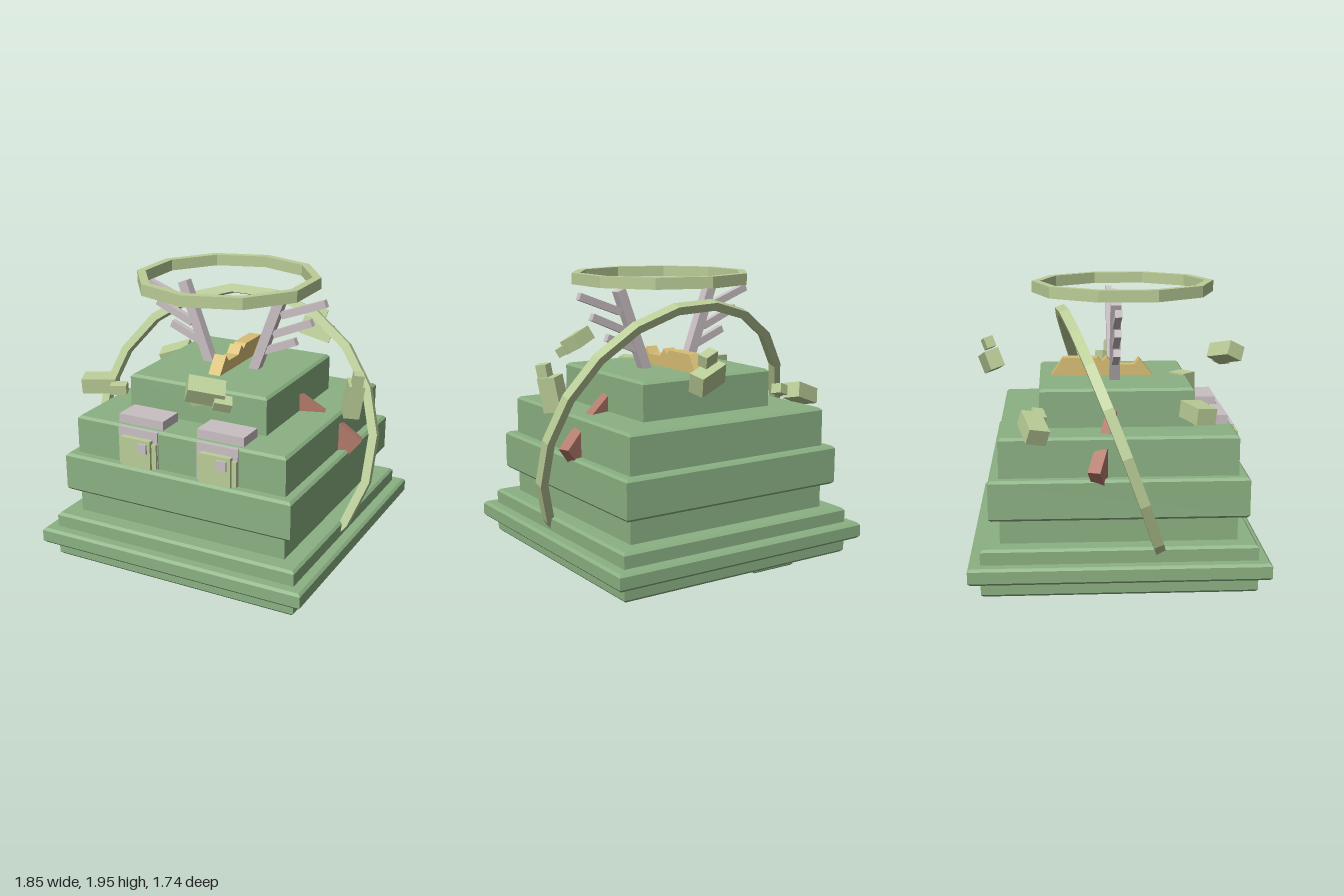
import * as THREE from 'three';

const mat = (name, color) => Object.assign(new THREE.MeshStandardMaterial({ color }), { name });

export function createModel() {
  const root = new THREE.Group();
  const green = mat('body green', 0x8bb183);
  const light = mat('pale green', 0xbacd97);
  const grey = mat('warm grey', 0xc9bfc3);
  const gold = mat('gold', 0xd8be74);
  const red = mat('dusty red', 0xb27b6c);

  const add = (name, geo, material, parent = root) => {
    if (geo.index) geo = geo.toNonIndexed();
    geo.computeVertexNormals(); // crisp facets
    const mesh = new THREE.Mesh(geo, material);
    mesh.name = name;
    parent.add(mesh);
    return mesh;
  };

  const box = (name, material, w, h, d, x, y, z, parent) => {
    const m = add(name, new THREE.BoxGeometry(w, h, d), material, parent);
    m.position.set(x, y, z);
    return m;
  };

  // Flat outline in x/y, given thickness centred on z = 0
  const plate = (points, depth) => {
    const shape = new THREE.Shape(points.map(([x, y]) => new THREE.Vector2(x, y)));
    return new THREE.ExtrudeGeometry(shape, { depth, bevelEnabled: false }).translate(0, 0, -depth / 2);
  };

  // Box with chamfered edges, resting between y0 and y1
  const slab = (name, hx, hz, y0, y1, b = 0.015) => {
    const u = hx - b, v = hz - b;
    const shape = new THREE.Shape([[-u, -v], [u, -v], [u, v], [-u, v]].map((p) => new THREE.Vector2(...p)));
    const geo = new THREE.ExtrudeGeometry(shape, {
      depth: y1 - y0 - 2 * b, bevelEnabled: true, bevelSegments: 1, bevelSize: b, bevelThickness: b,
    });
    geo.rotateX(-Math.PI / 2).translate(0, y0 + b, 0);
    return add(name, geo, green);
  };

  // Faceted band with a rectangular section
  const band = (name, inner, outer, height, sides, turn = 0) => {
    const h = height / 2;
    const profile = [[inner, -h], [outer, -h], [outer, h], [inner, h], [inner, -h]];
    const geo = new THREE.LatheGeometry(profile.map((p) => new THREE.Vector2(...p)), sides);
    return add(name, geo.rotateY(turn), light);
  };

  // Stacked body tiers: half width, bottom, top
  [
    [0.53, 0.19, 0.3], [0.8, 0.28, 0.565], [0.87, 0.375, 0.475], [0.69, 0.55, 0.73],
    [0.75, 0.715, 0.955], [0.69, 0.94, 1.19], [0.455, 1.175, 1.42],
  ].forEach(([half, y0, y1], i) => slab(`bodyTier${i + 1}`, half, half, y0, y1));

  // Stepped pads under the body
  [[-0.3, 0.62, 0], [0.5, -0.3, 1], [-0.3, -0.62, 0], [-0.5, -0.3, 1]].forEach(([x, z, side], i) => {
    const [w, d] = side ? [0.2, 0.3] : [0.3, 0.22];
    slab(`underPad${i + 1}`, w / 2, d / 2, 0.24, 0.3, 0.01).position.set(x, 0, z);
    slab(`underPadRim${i + 1}`, w / 2 + 0.02, d / 2 + 0.02, 0.262, 0.3, 0.01).position.set(x, 0, z);
  });

  // Two windows with canopies on the front
  for (const x of [-0.26, 0.265]) {
    const g = new THREE.Group();
    g.name = 'frontWindow';
    g.position.x = x;
    root.add(g);
    box('canopy', grey, 0.3, 0.06, 0.17, 0, 1.215, 0.575, g);
    box('windowHead', grey, 0.265, 0.23, 0.05, 0, 1.07, 0.675, g);
    box('windowFrame', light, 0.25, 0.155, 0.05, 0.005, 1.035, 0.69, g);
    box('windowPane', light, 0.2, 0.18, 0.06, 0, 1.045, 0.703, g);
    box('latch', grey, 0.06, 0.06, 0.03, 0.05, 1.085, 0.73, g);
  }

  // Floating crown ring and the tilted orbit ring
  band('crownRing', 0.503, 0.555, 0.068, 10).position.set(0, 1.966, 0.06);
  const orbit = band('orbitRing', 0.888, 0.94, 0.06, 20, -0.09);
  orbit.position.set(-0.005, 0.96, 0);
  orbit.quaternion.setFromUnitVectors(new THREE.Vector3(0, 1, 0), new THREE.Vector3(0.1, 0.36, 1).normalize());

  // Antlers and side fins, mirrored
  const bar = (name, x0, y0, x1, y1, width, depth) => {
    const m = box(name, grey, width, Math.hypot(x1 - x0, y1 - y0), depth, (x0 + x1) / 2, (y0 + y1) / 2, 0);
    m.rotation.z = Math.atan2(x0 - x1, y1 - y0);
  };
  for (const s of [-1, 1]) {
    bar('antlerStem', s * 0.145, 1.39, s * 0.335, 1.905, 0.062, 0.062);
    bar('antlerTine', s * 0.33, 1.775, s * 0.61, 1.88, 0.045, 0.04);
    bar('antlerTine', s * 0.28, 1.65, s * 0.525, 1.755, 0.045, 0.04);
    bar('antlerTine', s * 0.22, 1.54, s * 0.425, 1.625, 0.045, 0.04);

    const lower = add('lowerFin', plate([[-0.2, 1.14], [-0.13, 1.12], [0, 1.015], [-0.13, 0.86], [-0.2, 0.86]], 0.075), red);
    lower.position.set(s * 0.81, 0, -0.15);
    lower.rotation.y = s > 0 ? 0.35 : Math.PI - 0.35;
    const upper = add('upperFin', plate([[-0.22, 1.33], [0, 1.18], [0, 1.15], [-0.22, 1.15]], 0.06), red);
    upper.position.set(s * 0.61, 0, -0.08);
    upper.rotation.y = s > 0 ? 0.3 : Math.PI - 0.3;
  }

  // Stepped crest on the roof, outlined along z
  const crest = add('crest', plate([
    [-0.25, 1.41], [0.39, 1.41], [0.31, 1.53], [0.1, 1.53], [0.07, 1.505],
    [0.04, 1.535], [0, 1.485], [-0.13, 1.485], [-0.16, 1.525],
  ], 0.08), gold);
  crest.rotation.y = -Math.PI / 2;
  crest.scale.x = 1;
  crest.geometry.rotateY(Math.PI).scale(-1, 1, 1);
  // Undo the double flip so the taller steps face the back
  crest.geometry.scale(1, 1, -1);
  crest.rotation.y = Math.PI / 2;

  // Curved keel below
  const keel = add('keel', plate([
    [-0.5, 0.24], [-0.1, -0.01], [0.31, 0.07], [0.46, 0.28],
    [0.37, 0.28], [0.26, 0.14], [-0.07, 0.09], [-0.42, 0.26],
  ], 0.125), gold);
  keel.rotation.x = -0.34;
  keel.position.set(0, 0.08, -0.145);

  // Knob on the front of the roof
  box('frontKnob', light, 0.115, 0.12, 0.115, 0, 1.37, 0.43).rotation.y = Math.PI / 4;

  // Floating rocks: position, rotation, offset of the small piece
  [
    [[-0.685, 1.25, -0.485], [0.2, 0.32, 0.28], [0.13, 0.0, 0.06]],
    [[-0.68, 1.325, 0.445], [0.1, 0.38, 0], [0.13, 0.0, 0.08]],
    [[0.215, 1.515, 0.735], [0.5, 0.4, -0.45], [0.1, -0.01, 0.06]],
    [[0.23, 1.47, -0.765], [1.2, -0.2, -0.35], [-0.02, 0.02, -0.11]],
    [[0.795, 1.325, -0.01], [0.15, 0.5, 1.38], [0.13, 0.0, 0.03]],
  ].forEach(([p, r, o], i) => {
    const g = new THREE.Group();
    g.name = `floatingRock${i + 1}`;
    g.position.set(...p);
    g.rotation.set(...r);
    root.add(g);
    box('rock', light, 0.21, 0.095, 0.12, 0, 0, 0, g);
    box('rockChip', light, 0.1, 0.06, 0.07, ...o, g);
  });

  return root;
}
